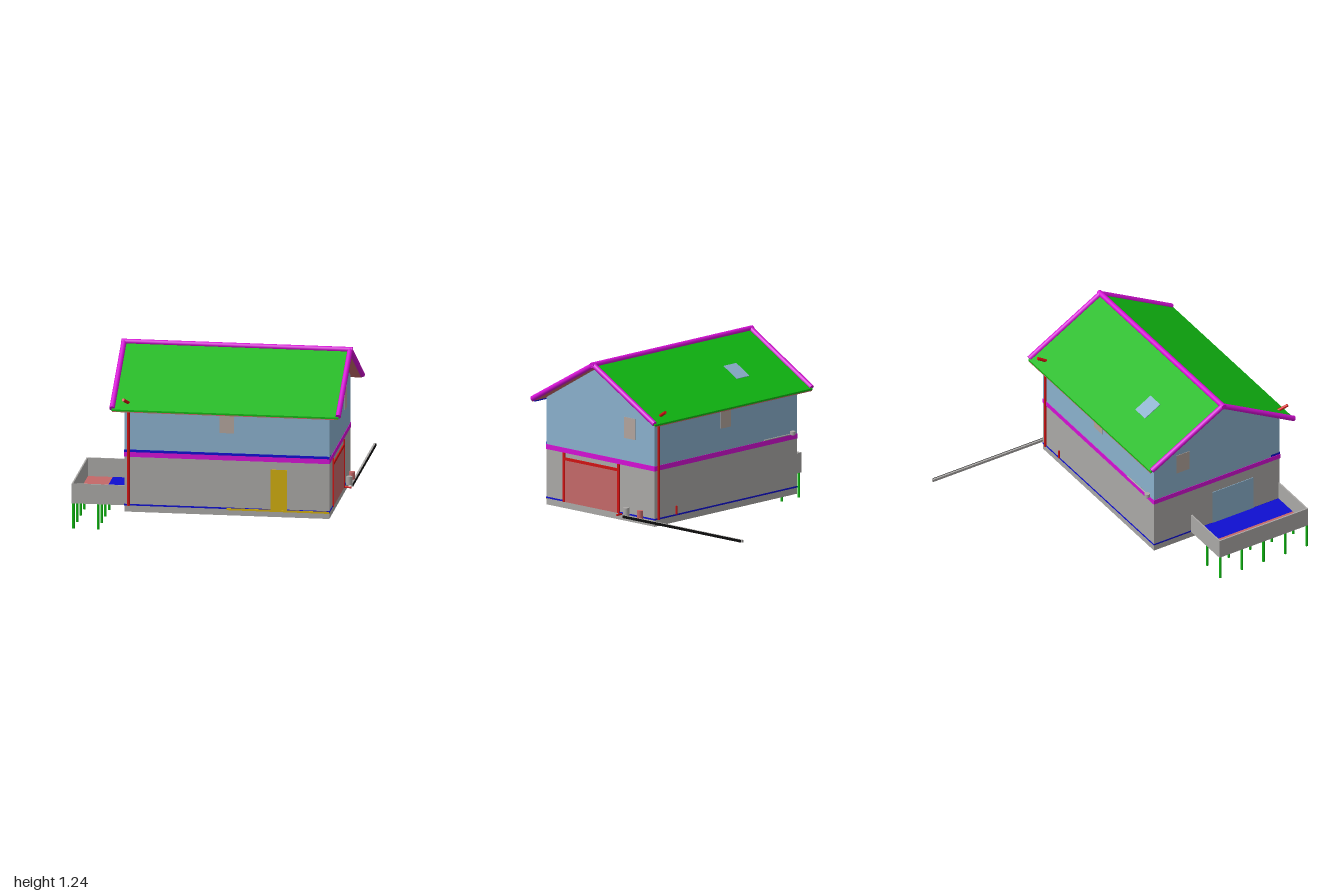
import * as THREE from 'three';

const mat = (name, color) => {
  const m = new THREE.MeshStandardMaterial({ color });
  m.name = name;
  return m;
};

export function createModel() {
  const grey = mat('grey', 0xaaa8a6), wallBlue = mat('wall blue', 0x8ab0cc);
  const green = mat('green', 0x10b812), magenta = mat('magenta', 0xd410d4);
  const red = mat('red', 0xd01212), salmon = mat('pale red', 0xc46868);
  const blue = mat('blue', 0x0e0ed0), yellow = mat('yellow', 0xcfac0c);
  const tan = mat('tan', 0xb2a49c), black = mat('black', 0x0a0a0a);

  const model = new THREE.Group();
  model.name = 'house';
  const add = (name, geometry, material) => {
    const mesh = new THREE.Mesh(geometry, material);
    mesh.name = name;
    model.add(mesh);
    return mesh;
  };
  // Box given by its lower and upper limits on each axis
  const box = (name, m, x0, x1, y0, y1, z0, z1) =>
    add(name, new THREE.BoxGeometry(x1 - x0, y1 - y0, z1 - z0), m)
      .position.set((x0 + x1) / 2, (y0 + y1) / 2, (z0 + z1) / 2);
  // Round bar between two points
  const bar = (name, m, a, b, r, sides = 12) => {
    const p = new THREE.Vector3(...a), q = new THREE.Vector3(...b);
    const mesh = add(name, new THREE.CylinderGeometry(r, r, p.distanceTo(q), sides), m);
    mesh.position.copy(p).lerp(q, 0.5);
    mesh.quaternion.setFromUnitVectors(new THREE.Vector3(0, 1, 0), q.sub(p).normalize());
  };
  // Prism along x from a closed outline of [z, y] points
  const prism = (name, m, outline, x0, x1) => {
    const shape = new THREE.Shape(outline.map(([z, y]) => new THREE.Vector2(-z, y)));
    const g = new THREE.ExtrudeGeometry(shape, { depth: x1 - x0, bevelEnabled: false });
    g.rotateY(Math.PI / 2);
    g.translate(x0, 0, 0);
    add(name, g, m);
  };

  const X0 = -0.585, X1 = 0.855, Z0 = -0.115, Z1 = 0.92, ZR = 0.4025;

  // Base, storeys and bands
  box('baseSlab', grey, X0, X1, 0.135, 0.18, Z0, Z1);
  box('lowerWalls', grey, X0, X1, 0.18, 0.53, Z0, Z1);
  box('floorBand', magenta, X0 - 0.003, X1 + 0.003, 0.53, 0.565, Z0 - 0.003, Z1 + 0.003);
  box('sillStrip', blue, X0 - 0.002, X1 + 0.002, 0.18, 0.191, Z0 - 0.002, Z1 + 0.002);
  box('frontBand', blue, X0, X1, 0.565, 0.582, 0.85, Z1 + 0.004);
  prism('upperWalls', wallBlue,
    [[Z0, 0.565], [Z1, 0.565], [Z1, 0.9], [ZR, 1.2], [Z0, 0.9]], X0, X1);

  // Roof: two slopes with a lining, edge tubes and ridge tube
  for (const s of [1, -1]) {
    const ze = ZR + s * 0.592, slope = (a, b) =>
      [[ZR, 1.22 - a], [ze, 0.885 - a], [ze, 0.885 - b], [ZR, 1.22 - b]];
    prism('roofSlope', green, slope(0, 0.012), -0.665, 0.93);
    prism('roofLining', salmon, slope(0.012, 0.018), -0.66, 0.925);
    for (const x of [-0.662, 0.927])
      bar('roofEdge', magenta, [x, 1.22, ZR], [x, 0.89, ZR + s * 0.585], 0.019, 16);
  }
  bar('ridge', magenta, [-0.68, 1.221, ZR], [0.945, 1.221, ZR], 0.019, 16);
  box('eaveStrip', blue, -0.645, 0.91, 0.866, 0.874, 0.98, 0.99);

  // Skylight lying on the rear slope
  const tilt = Math.atan2(0.335, 0.592);
  const skylight = add('skylight', new THREE.BoxGeometry(0.125, 0.006, 0.145), wallBlue);
  skylight.position.set(-0.187, 1.22 - (ZR - 0.087) * 0.566 + 0.002, 0.087);
  skylight.rotation.x = -tilt;

  // Upper windows
  for (const z of [Z1, Z0]) box('window', tan, 0.083, 0.187, 0.725, 0.87, z - 0.003, z + 0.003);
  for (const x of [X0, X1]) box('gableWindow', tan, x - 0.003, x + 0.003, 0.725, 0.875, 0.07, 0.175);

  // Doors
  box('frontDoor', yellow, 0.443, 0.557, 0.18, 0.475, Z1, Z1 + 0.004);
  box('frontSill', yellow, 0.135, X1, 0.173, 0.187, Z1, Z1 + 0.006);
  box('deckDoor', wallBlue, X0 - 0.004, X0, 0.18, 0.45, 0.365, 0.7);
  box('garageDoor', salmon, X1, X1 + 0.004, 0.18, 0.485, 0.225, 0.75);
  for (const z of [0.227, 0.748])
    box('garagePost', red, X1, X1 + 0.008, 0.18, 0.53, z - 0.009, z + 0.009);
  box('garageLintel', red, X1, X1 + 0.008, 0.478, 0.498, 0.225, 0.75);

  // Downpipes and the short pipes through the roof
  bar('frontDownpipe', red, [-0.555, 0.18, 0.925], [-0.555, 0.9, 0.925], 0.009);
  bar('rearDownpipe', red, [0.82, 0.18, -0.12], [0.82, 0.9, -0.12], 0.009);
  bar('frontRoofPipe', red, [-0.583, 0.955, 0.988], [-0.555, 0.918, 0.925], 0.011);
  bar('rearRoofPipe', red, [0.818, 0.955, -0.183], [0.808, 0.918, -0.12], 0.011);

  // Raised deck with parapet and legs
  box('deckFloorOuter', salmon, -0.945, -0.77, 0.18, 0.19, 0.2, 0.91);
  box('deckFloorInner', blue, -0.77, X0, 0.18, 0.19, 0.2, 0.91);
  box('deckEndWall', grey, -0.955, -0.945, 0.18, 0.322, 0.19, 0.92);
  for (const z of [0.19, 0.91]) box('deckSideWall', grey, -0.945, X0, 0.18, 0.322, z, z + 0.01);
  for (const x of [-0.943, -0.77])
    for (let i = 0; i < 5; i++) {
      const z = 0.205 + i * 0.1775;
      bar('deckLeg', green, [x, 0, z], [x, 0.18, z], 0.009);
    }

  // Long ground rail with a dark outer face, and the pots beside it
  box('rail', grey, 0.89, 0.904, 0.167, 0.185, -1, 0.14);
  box('railFace', black, 0.904, 0.909, 0.167, 0.185, -0.99, 0.14);
  bar('greyPot', grey, [0.882, 0.18, 0.132], [0.882, 0.238, 0.132], 0.022, 20);
  bar('redPot', salmon, [0.882, 0.18, 0], [0.882, 0.238, 0], 0.022, 20);
  bar('drainStub', red, [X1, 0.178, 0.2], [0.905, 0.178, 0.2], 0.007);

  // Fittings on the rear wall
  bar('rearOutlet', grey, [-0.525, 0.568, -0.133], [-0.525, 0.593, -0.133], 0.019, 20);
  bar('rearOutletPipe', grey, [-0.525, 0.57, -0.119], [-0.25, 0.57, -0.119], 0.005);
  bar('rearStub', red, [0.64, 0.19, -0.121], [0.64, 0.25, -0.121], 0.007);

  return model;
}
